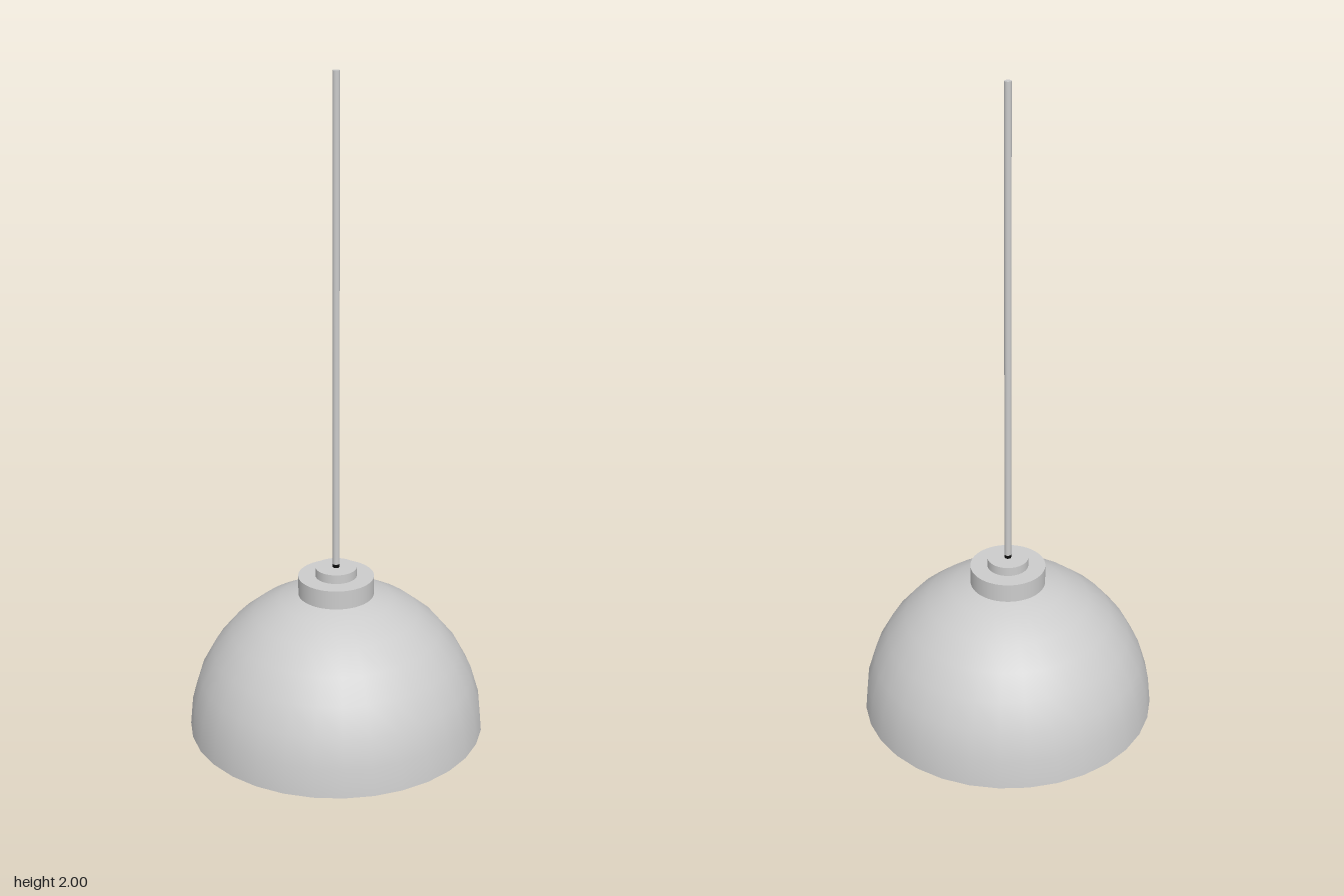
import * as THREE from 'three';
import { toCreasedNormals } from 'three/addons/utils/BufferGeometryUtils.js';

const grey = new THREE.MeshStandardMaterial({ color: 0xcccccc });
const black = new THREE.MeshStandardMaterial({ color: 0x0a0a0a });

const RIM_Y = 0.085;

// Quarter-circle points from the rim up to the pole
function arc(radius, steps) {
  const points = [];
  for (let i = 0; i <= steps; i++) {
    const a = (i / steps) * Math.PI / 2;
    points.push(new THREE.Vector2(i === steps ? 0 : radius * Math.cos(a), RIM_Y + radius * Math.sin(a)));
  }
  return points;
}

export function createModel() {
  const model = new THREE.Group();

  const add = (name, geometry, material) => {
    const mesh = new THREE.Mesh(geometry, material);
    mesh.name = name;
    model.add(mesh);
  };
  const cylinder = (name, radius, bottom, top, sides, material) => {
    const geometry = new THREE.CylinderGeometry(radius, radius, top - bottom, sides);
    geometry.translate(0, (bottom + top) / 2, 0);
    add(name, geometry, material);
  };

  // Hollow dome: inner skin down to the rim, then the outer skin back up
  const profile = [...arc(0.421, 8).reverse(), ...arc(0.433, 8)];
  add('shade', toCreasedNormals(new THREE.LatheGeometry(profile, 32), 0.7), grey);

  // Stepped cap on top of the dome
  cylinder('capBase', 0.11, 0.495, 0.558, 64, grey);
  cylinder('capTop', 0.06, 0.558, 0.585, 64, grey);

  // Hanging cord, with the dark inner wire running down to the bulb
  cylinder('cord', 0.01, 0.595, 2, 16, grey);
  cylinder('innerWire', 0.01, 0.2, 0.595, 16, black);

  // Bulb: a globe that narrows into a rounded neck
  const bulb = [[0, 0]];
  for (let i = 1; i <= 12; i++) {
    const a = (i / 12) * Math.PI * 0.7;
    bulb.push([0.086 * Math.sin(a), 0.086 - 0.086 * Math.cos(a)]);
  }
  bulb.push([0.054, 0.155], [0.043, 0.175], [0.04, 0.195], [0.037, 0.212], [0.026, 0.225], [0, 0.23]);
  add('bulb', new THREE.LatheGeometry(bulb.map(([r, y]) => new THREE.Vector2(r, y)), 32), black);

  return model;
}
